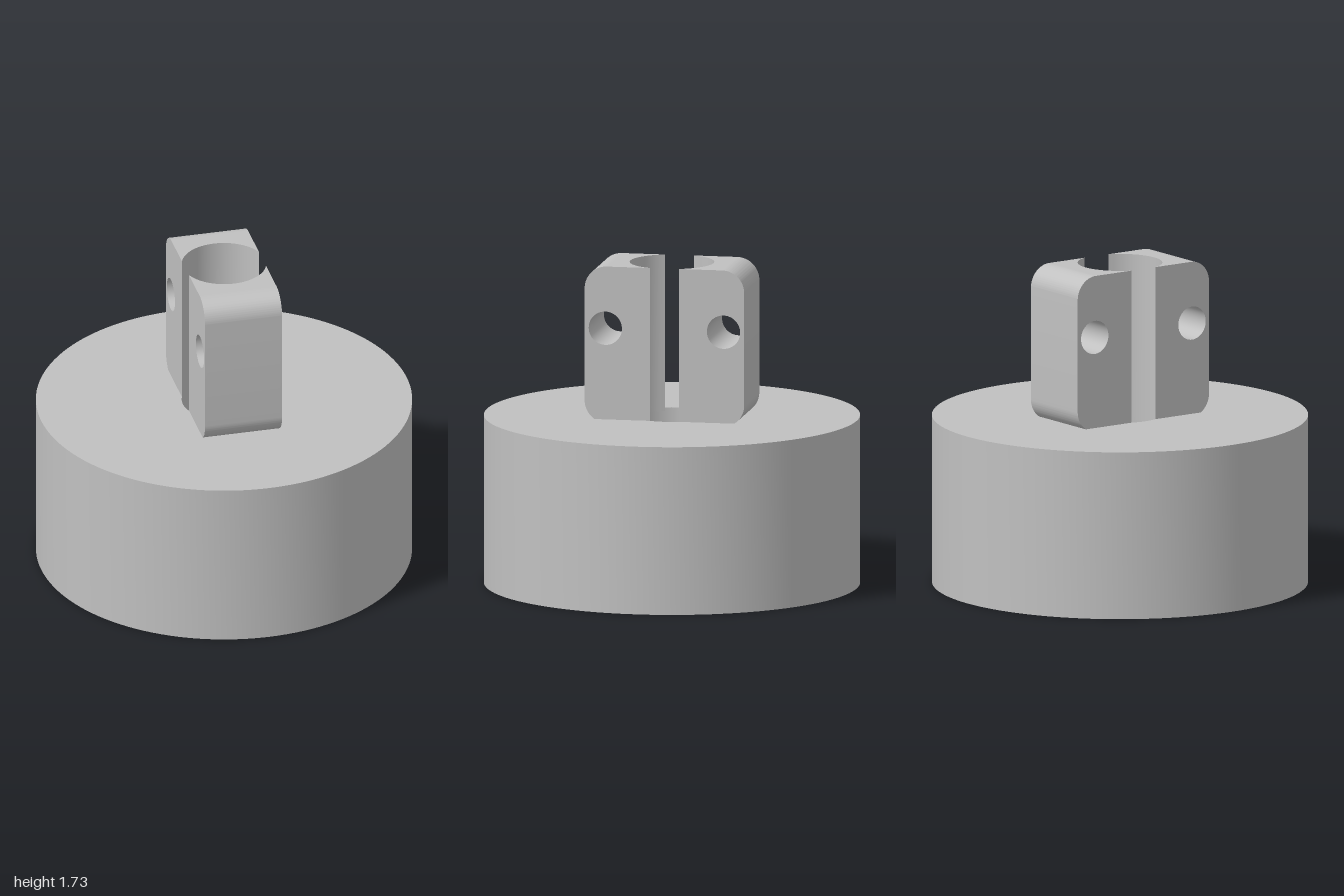
import * as THREE from 'three';
import { toCreasedNormals } from 'three/addons/utils/BufferGeometryUtils.js';

const BORE = 0.225;       // central through hole radius
const HALF_W = 0.211;     // half width of the clamp block
const CEILING = 0.533;    // underside of the cap's solid top
const TOP = 0.905;

const crease = (g) => toCreasedNormals(g, 0.5);

const turned = (points, segments) =>
  crease(new THREE.LatheGeometry(points.map(([r, y]) => new THREE.Vector2(r, y)), segments));

const circle = (x, y, r) => new THREE.Path().absarc(x, y, r, 0, Math.PI * 2, true);

// One half of the clamp block: rounded plate with a cross hole and a curved inner face
function jawGeometry() {
  const z0 = Math.sqrt(BORE * BORE - HALF_W * HALF_W);
  const z1 = 0.432, y0 = 0.885, y1 = 1.73, r = 0.12;
  const shape = new THREE.Shape();
  shape.moveTo(z0, y0);
  shape.lineTo(z1 - r, y0);
  shape.absarc(z1 - r, y0 + r, r, -Math.PI / 2, 0, false);
  shape.lineTo(z1, y1 - r);
  shape.absarc(z1 - r, y1 - r, r, 0, Math.PI / 2, false);
  shape.lineTo(z0, y1);
  shape.closePath();
  shape.holes.push(circle(0.32, 1.397, 0.09));

  const g = new THREE.ExtrudeGeometry(shape, {
    depth: HALF_W * 2, steps: 32, bevelEnabled: false, curveSegments: 24,
  });
  g.translate(0, 0, -HALF_W);
  // Bend the inner face around the bore
  const p = g.attributes.position;
  for (let i = 0; i < p.count; i++) {
    if (Math.abs(p.getX(i) - z0) < 1e-4) {
      const w = p.getZ(i);
      p.setX(i, Math.sqrt(Math.max(BORE * BORE - w * w, z0 * z0)));
    }
  }
  g.rotateY(-Math.PI / 2);
  return crease(g);
}

export function createModel() {
  const group = new THREE.Group();
  const grey = new THREE.MeshStandardMaterial({ color: 0xc0c0c0 });
  grey.name = 'grey';

  const add = (name, geometry) => {
    const mesh = new THREE.Mesh(geometry, grey);
    mesh.name = name;
    group.add(mesh);
    return mesh;
  };

  // Round cap with an inward lip below a wider recess
  add('capBody', turned([
    [0.965, CEILING], [0.965, 0.32], [0.78, 0.32], [0.78, 0], [1, 0],
    [1, TOP], [BORE, TOP], [BORE, CEILING],
  ], 128));

  // Recess ceiling, pierced by the bore and two pin holes
  const disc = new THREE.Shape().absarc(0, 0, 0.965, 0, Math.PI * 2, false);
  disc.holes.push(circle(0, 0, BORE));
  for (const s of [-1, 1]) disc.holes.push(circle(s * 0.61, 0, 0.09));
  const ceiling = new THREE.ShapeGeometry(disc, 64);
  ceiling.rotateX(Math.PI / 2);
  add('recessCeiling', ceiling).position.y = CEILING;

  // Blind pin holes
  const pinHole = turned([[0, 0.75], [0.09, 0.75], [0.09, CEILING]], 64);
  for (const s of [-1, 1]) {
    add(s < 0 ? 'rightPinHole' : 'leftPinHole', pinHole).position.x = s * 0.61;
  }

  // Two mirrored jaws of the clamp block
  const jaw = jawGeometry();
  add('frontJaw', jaw);
  add('backJaw', jaw).rotation.y = Math.PI;

  return group;
}
